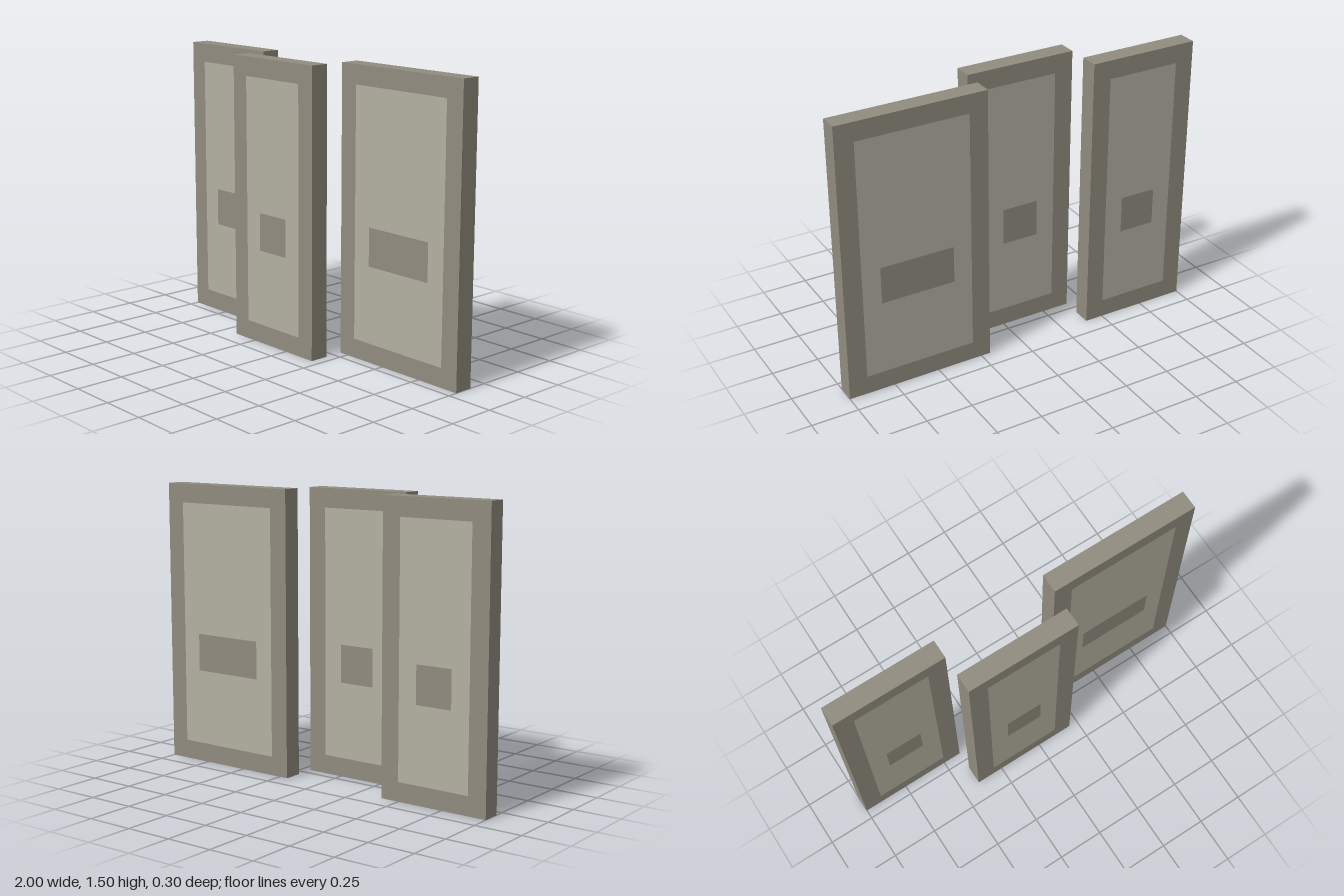
import * as THREE from 'three';

const HEIGHT = 1.5, DEPTH = 0.1, BORDER = 0.1;

const frameMaterial = new THREE.MeshStandardMaterial({ color: 0x918c7f });
const panelMaterial = new THREE.MeshStandardMaterial({ color: 0xb2b1a1 });

// Traces a rectangle onto a shape or a hole path
function rectangle(path, x0, y0, x1, y1) {
  path.moveTo(x0, y0);
  path.lineTo(x1, y0);
  path.lineTo(x1, y1);
  path.lineTo(x0, y1);
  path.closePath();
  return path;
}

// Flush rectangular slab with an optional rectangular opening
function slab(name, material, outer, opening) {
  const shape = rectangle(new THREE.Shape(), ...outer);
  if (opening) shape.holes.push(rectangle(new THREE.Path(), ...opening));
  const geometry = new THREE.ExtrudeGeometry(shape, { depth: DEPTH, bevelEnabled: false });
  geometry.translate(0, 0, -DEPTH / 2);
  const mesh = new THREE.Mesh(geometry, material);
  mesh.name = name;
  return mesh;
}

// Sliding door: dark frame, light panel and a flush handle plate
function createDoor(name, width, x, z) {
  const w = width / 2;
  const outer = [-w, 0, w, HEIGHT];
  const panel = [-w + BORDER, BORDER, w - BORDER, HEIGHT - BORDER];
  const handle = [-w + 0.2, 0.5, w - 0.2, 0.7];

  const door = new THREE.Group();
  door.name = name;
  door.add(
    slab('frame', frameMaterial, outer, panel),
    slab('panel', panelMaterial, panel, handle),
    slab('handlePlate', frameMaterial, handle)
  );
  door.position.set(x, 0, z);
  return door;
}

export function createModel() {
  const model = new THREE.Group();
  model.name = 'slidingDoors';
  model.add(
    createDoor('rightDoor', 0.6, -0.7, -0.1),
    createDoor('middleDoor', 0.6, -0.1, 0.1),
    createDoor('leftDoor', 0.8, 0.6, -0.1)
  );
  return model;
}
